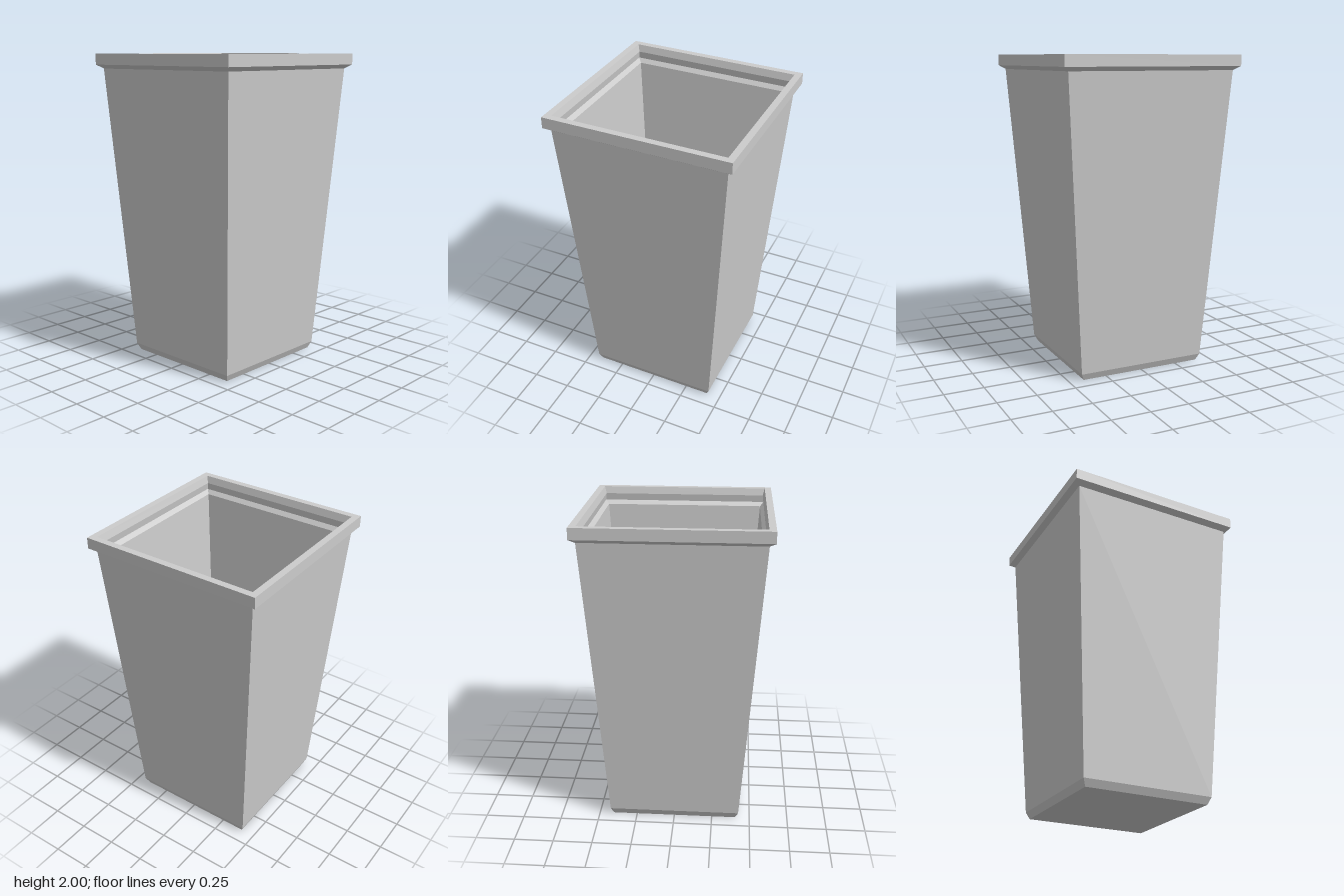
import * as THREE from 'three';

const material = new THREE.MeshStandardMaterial({ color: 0xcccccc, flatShading: true, side: THREE.DoubleSide });

// Sweeps a profile of [half width, height] points around a square plan.
function squareShell(name, profile) {
  const points = profile.map(([w, y]) => new THREE.Vector2(w * Math.SQRT2, y));
  const geometry = new THREE.LatheGeometry(points, 4, Math.PI / 4).toNonIndexed();
  geometry.computeVertexNormals();
  const mesh = new THREE.Mesh(geometry, material);
  mesh.name = name;
  return mesh;
}

export function createModel() {
  const group = new THREE.Group();
  group.name = 'squareBin';

  // Base plate, chamfered foot and tapered outer walls
  group.add(squareShell('outerWalls', [[0, 0], [0.405, 0], [0.425, 0.045], [0.55, 1.905]]));

  // Flared collar, flat lip and the recessed step inside it
  group.add(squareShell('rim', [
    [0.55, 1.905], [0.586, 1.93], [0.586, 2], [0.544, 2],
    [0.532, 1.955], [0.538, 1.91], [0.516, 1.885],
  ]));

  // Tapered inner walls and floor
  group.add(squareShell('innerWalls', [[0.516, 1.885], [0.392, 0.045], [0, 0.045]]));

  return group;
}
